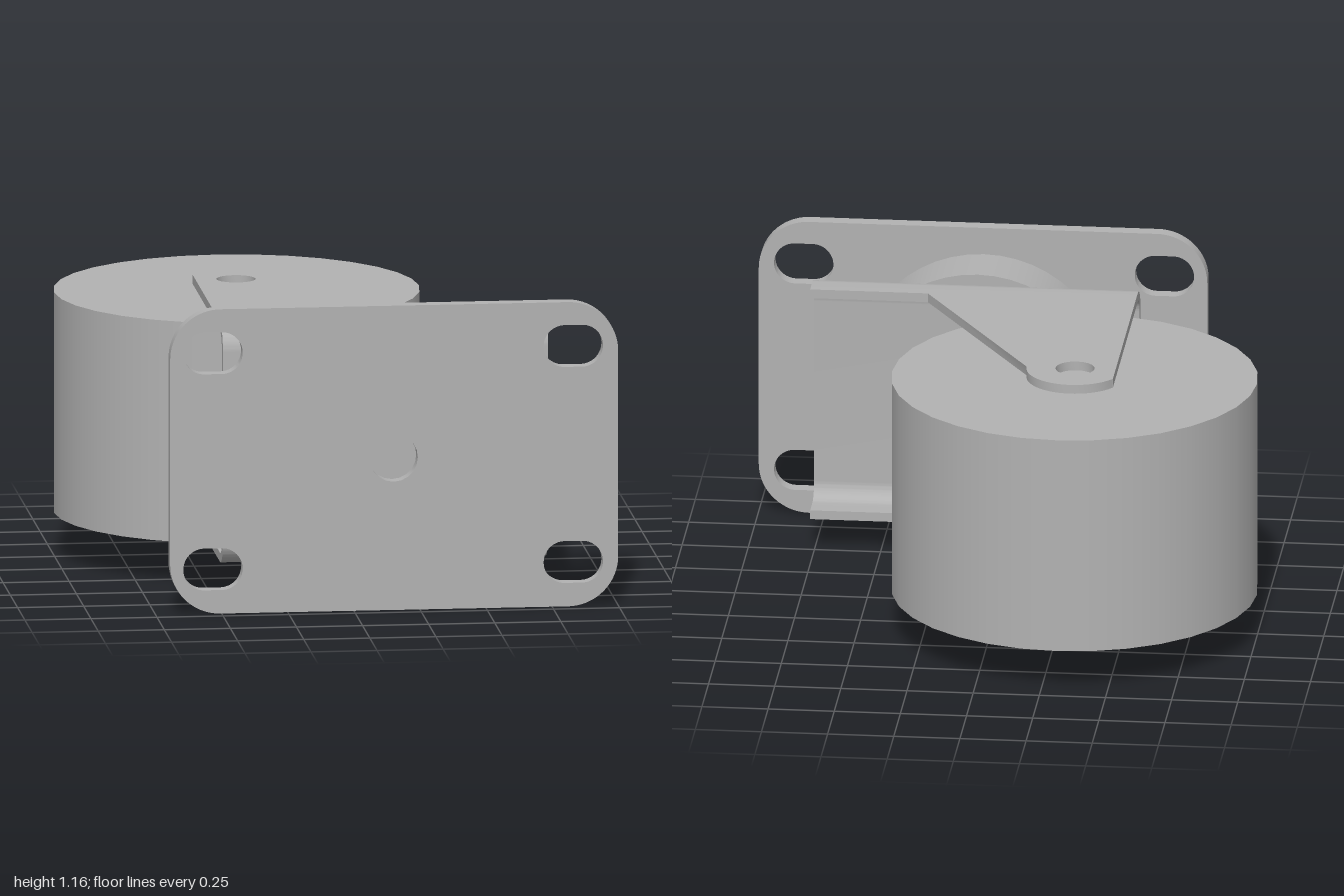
import * as THREE from 'three';
import { toCreasedNormals } from 'three/addons/utils/BufferGeometryUtils.js';

const steel = new THREE.MeshStandardMaterial({ color: 0xb2b2b2 });
steel.name = 'grey steel';

const MID_Y = 0.583;

// Extrude a shape, keeping bends smooth and edges sharp
function extrude(shape, depth) {
  const g = new THREE.ExtrudeGeometry(shape, { depth, bevelEnabled: false, curveSegments: 10 });
  return toCreasedNormals(g, 0.6);
}

function part(name, geometry) {
  const mesh = new THREE.Mesh(geometry, steel);
  mesh.name = name;
  return mesh;
}

function circleHole(x, y, r) {
  return new THREE.Path().absarc(x, y, r, 0, Math.PI * 2, true);
}

// Rounded rectangle outline, also used for the slots
function roundedRect(path, x0, y0, x1, y1, r) {
  path.absarc(x1 - r, y0 + r, r, -Math.PI / 2, 0, false);
  path.absarc(x1 - r, y1 - r, r, 0, Math.PI / 2, false);
  path.absarc(x0 + r, y1 - r, r, Math.PI / 2, Math.PI, false);
  path.absarc(x0 + r, y0 + r, r, Math.PI, Math.PI * 1.5, false);
  path.closePath();
  return path;
}

function mountingPlate() {
  const s = roundedRect(new THREE.Shape(), -0.695, 0, 1, 1.165, 0.19);
  for (const x of [-0.533, 0.83])
    for (const y of [0.17, 0.997])
      s.holes.push(roundedRect(new THREE.Path(), x - 0.112, y - 0.08, x + 0.112, y + 0.08, 0.079));
  s.holes.push(circleHole(0.15, MID_Y, 0.092));
  return part('mountingPlate', extrude(s, 0.055).translate(0, 0, 0.897));
}

// U-shaped sheet with rounded bends, drawn as (-z, y) and run along x
function bracketChannel() {
  const front = -0.675, back = -0.49, lo = 0.125, hi = 1.045, t = 0.035, R = 0.1, r = R - t;
  const s = new THREE.Shape();
  s.moveTo(back, lo);
  s.lineTo(back, lo + t);
  s.absarc(front + R, lo + R, r, -Math.PI / 2, -Math.PI, true);
  s.absarc(front + R, hi - R, r, Math.PI, Math.PI / 2, true);
  s.lineTo(back, hi - t);
  s.lineTo(back, hi);
  s.absarc(front + R, hi - R, R, Math.PI / 2, Math.PI, false);
  s.absarc(front + R, lo + R, R, Math.PI, Math.PI * 1.5, false);
  s.closePath();
  return part('bracketChannel', extrude(s, 1.23).rotateY(Math.PI / 2).translate(-0.465, 0, 0));
}

// Tapered arm with a round end and axle hole, drawn as (x, z)
function bracketArm(name, topY) {
  const cx = -0.312, cz = -0.268;
  const s = new THREE.Shape();
  s.moveTo(0.32, 0.49);
  s.lineTo(-0.465, 0.49);
  s.lineTo(-0.465, -0.37);
  s.absarc(cx, cz, 0.183, Math.PI + 0.588, Math.PI * 2, false);
  s.closePath();
  s.holes.push(circleHole(cx, cz, 0.074));
  return part(name, extrude(s, 0.035).rotateX(Math.PI / 2).translate(0, topY, 0));
}

export function createModel() {
  const group = new THREE.Group();
  group.name = 'casterWheel';
  group.add(mountingPlate());

  // Swivel disc behind the plate
  const swivel = new THREE.CylinderGeometry(0.477, 0.477, 0.225, 48).rotateX(Math.PI / 2);
  group.add(part('swivelDisc', swivel.translate(0.149, MID_Y, 0.7845)));

  // Fork
  const fork = new THREE.Group();
  fork.name = 'fork';
  fork.add(bracketChannel(), bracketArm('upperArm', 1.045), bracketArm('lowerArm', 0.16));
  group.add(fork);

  // Wheel
  const wheel = new THREE.CylinderGeometry(0.69, 0.69, 0.844, 32);
  group.add(part('wheel', wheel.translate(-0.31, 0.585, -0.265)));
  return group;
}
